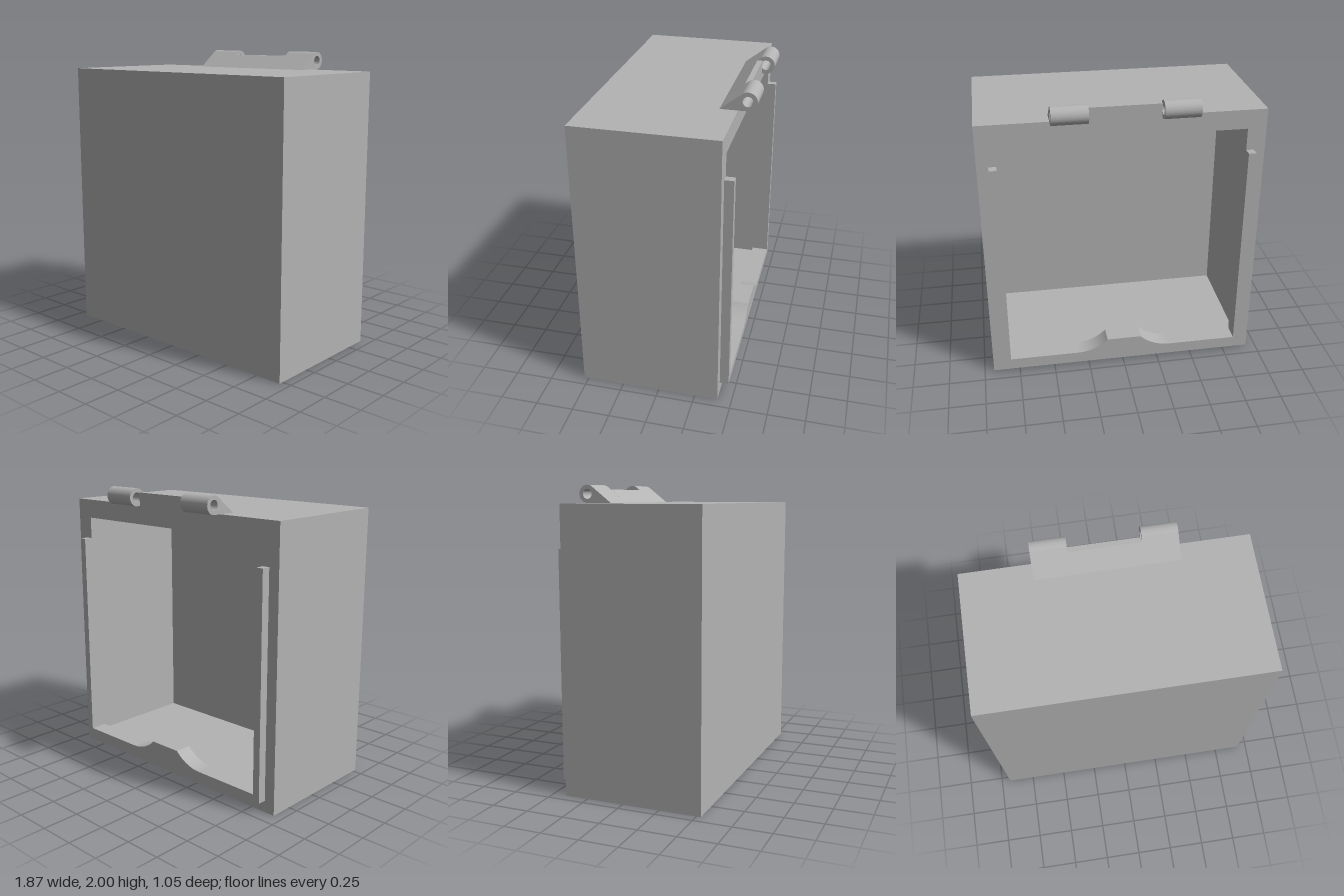
import * as THREE from 'three';

const W = 0.935, H = 1.88;          // half width and height of the case
const OPEN = 0.81, SILL = 0.13, HEAD = 1.75; // rear opening
const BACK = -0.405, FRONT = 0.53, WALL = 0.07, LIP = 0.06;

const rect = (Type, x, y0, y1) => {
  const s = new Type();
  s.moveTo(-x, y0); s.lineTo(x, y0); s.lineTo(x, y1); s.lineTo(-x, y1); s.closePath();
  return s;
};

// Bottom edge of the opening, from +x to -x, with a raised tab and concave flanks
function addSill(path) {
  const r = 0.29, cx = 0.33, a = Math.asin(0.21 / r);
  path.lineTo(OPEN, SILL);
  path.lineTo(cx, SILL);
  path.absarc(cx, SILL + r, r, -Math.PI / 2, -Math.PI / 2 - a, true);
  path.absarc(-cx, SILL + r, r, -Math.PI / 2 + a, -Math.PI / 2, true);
  path.lineTo(-OPEN, SILL);
}

export function createModel() {
  const group = new THREE.Group();
  const grey = new THREE.MeshStandardMaterial({ color: 0xb3b3b3 });
  grey.name = 'grey';

  const add = (name, geometry) => {
    const mesh = new THREE.Mesh(geometry, grey);
    mesh.name = name;
    group.add(mesh);
    return mesh;
  };
  const extrude = (shape, z0, z1) =>
    new THREE.ExtrudeGeometry(shape, { depth: z1 - z0, bevelEnabled: false, curveSegments: 24 }).translate(0, 0, z0);

  // Side walls, floor and ceiling
  const walls = rect(THREE.Shape, W, 0, H);
  walls.holes.push(rect(THREE.Path, W - WALL, WALL, H - WALL));
  add('caseWalls', extrude(walls, BACK + LIP, FRONT - WALL));

  // Closed front
  add('frontPanel', extrude(rect(THREE.Shape, W, 0, H), FRONT - WALL, FRONT));

  // Inward rim around the rear opening
  const rim = rect(THREE.Shape, W, 0, H);
  const opening = new THREE.Path();
  opening.moveTo(OPEN, HEAD);
  addSill(opening);
  opening.lineTo(-OPEN, HEAD);
  opening.closePath();
  rim.holes.push(opening);
  add('rearRim', extrude(rim, BACK, BACK + LIP));

  // U-shaped ridge that guides the lid
  const ridge = new THREE.Shape();
  ridge.moveTo(-0.86, 1.6);
  ridge.lineTo(-0.86, 0.08);
  ridge.lineTo(0.86, 0.08);
  ridge.lineTo(0.86, 1.6);
  ridge.lineTo(OPEN, 1.6);
  addSill(ridge);
  ridge.lineTo(-OPEN, 1.6);
  ridge.closePath();
  add('lidRidge', extrude(ridge, BACK - LIP, BACK));

  // Hinge profiles are drawn with shape x = -z, then turned to run along x
  const alongX = (shape, x0, x1) => extrude(shape, x0, x1).rotateY(Math.PI / 2);
  const cz = 0.465, cy = 1.94, r = 0.06, pin = 0.033;
  const tangent = Math.PI / 2 + 0.66;

  const knuckle = new THREE.Shape();
  knuckle.moveTo(0.29, H);
  knuckle.lineTo(cz, H);
  knuckle.absarc(cz, cy, r, -Math.PI / 2, tangent, false);
  knuckle.closePath();
  const bore = new THREE.Path();
  bore.absarc(cz, cy, pin, 0, Math.PI * 2, true);
  knuckle.holes.push(bore);
  add('hingeKnuckleRight', alongX(knuckle, -0.468, -0.235));
  add('hingeKnuckleLeft', alongX(knuckle, 0.235, 0.468));

  // Low web joining the knuckles
  const web = new THREE.Shape();
  web.moveTo(0.29, H);
  web.lineTo(0.44, H);
  web.lineTo(0.44, 1.97);
  web.lineTo(0.405, 1.97);
  web.closePath();
  add('hingeWeb', alongX(web, -0.235, 0.235));

  return group;
}
